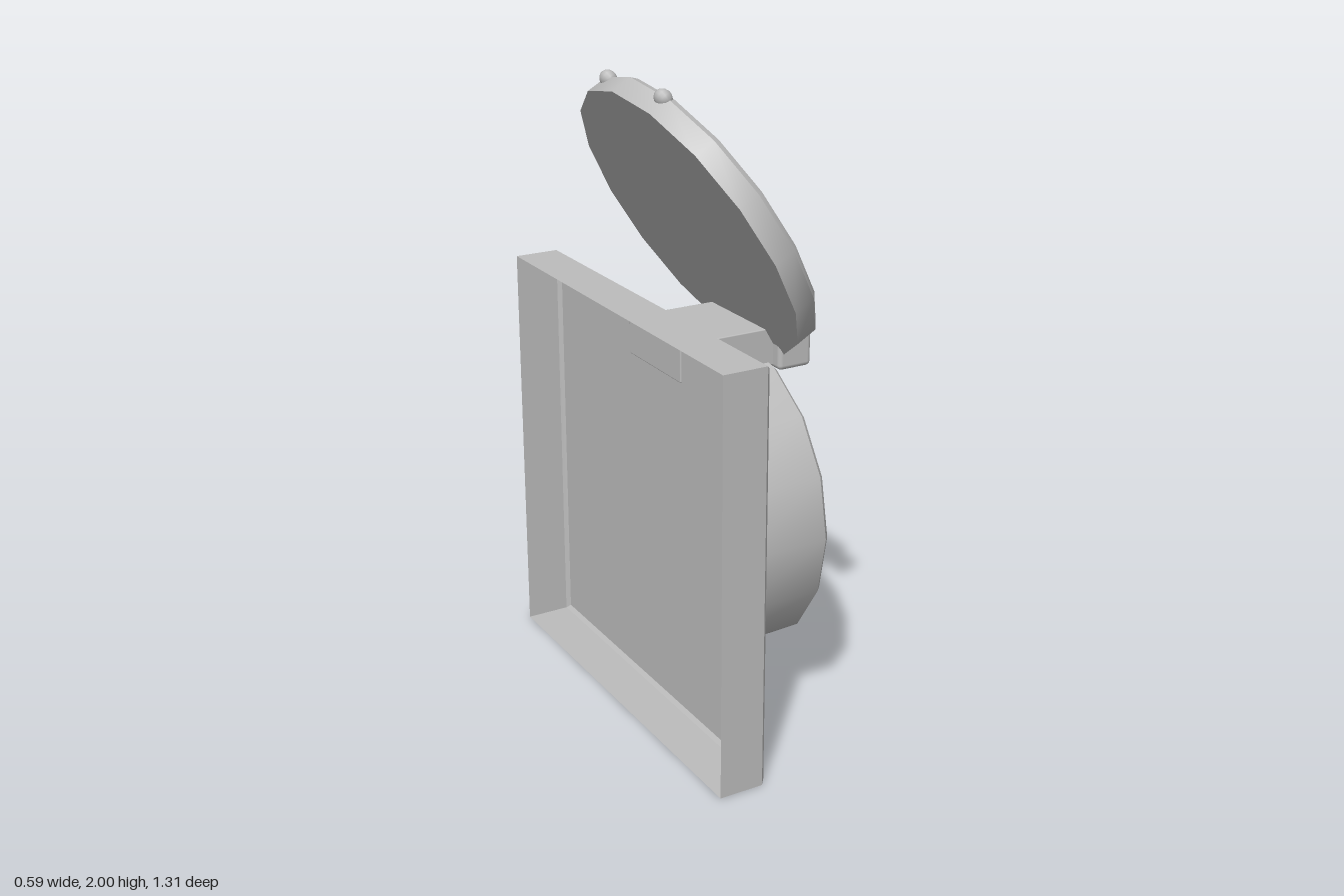
import * as THREE from 'three';
import { toCreasedNormals } from 'three/addons/utils/BufferGeometryUtils.js';
import { RoundedBoxGeometry } from 'three/addons/geometries/RoundedBoxGeometry.js';

const grey = new THREE.MeshStandardMaterial({ color: 0xbcbcbc, side: THREE.DoubleSide });
grey.name = 'greyPlastic';

function add(parent, name, geometry, x = 0, y = 0, z = 0) {
  const mesh = new THREE.Mesh(geometry, grey);
  mesh.name = name;
  mesh.position.set(x, y, z);
  parent.add(mesh);
  return mesh;
}

// Turned shape around the y axis, smooth around, crisp at the bevels
function turned(points, sides, phase = 0) {
  const profile = points.map(([r, h]) => new THREE.Vector2(r, h));
  return toCreasedNormals(new THREE.LatheGeometry(profile, sides, phase), 0.6);
}

// Box given by its limits along each axis
function block(parent, name, [x0, x1], [y0, y1], [z0, z1], bevel) {
  const geometry = new RoundedBoxGeometry(x1 - x0, y1 - y0, z1 - z0, 2, bevel);
  return add(parent, name, geometry, (x0 + x1) / 2, (y0 + y1) / 2, (z0 + z1) / 2);
}

export function createModel() {
  const model = new THREE.Group();
  model.name = 'wallSocket';
  const R = 0.493, centreY = 0.66, plateX = -0.145;

  // Wall plate: hollow square shell, open at the back, facing +x
  const half = 0.655 * Math.SQRT2, b = 0.012;
  const plate = turned([[half, 0], [half, 0.155 - b], [half - b * Math.SQRT2, 0.155], [0, 0.155]], 4, Math.PI / 4);
  plate.rotateZ(-Math.PI / 2);
  add(model, 'wallPlate', plate, -0.3, centreY, 0).scale.y = 1.32 / 1.31;

  // Cup: sixteen-sided collar with bevelled rim and a floor
  const cup = turned([
    [R, 0], [R, 0.305], [R - 0.015, 0.32], [0.443, 0.32], [0.43, 0.307], [0.425, 0.004], [0, 0.004],
  ], 16);
  cup.rotateZ(-Math.PI / 2);
  add(model, 'socketCup', cup, plateX, centreY, 0);

  // Five pentagonal pins, each with a corner on top
  const pin = new THREE.CylinderGeometry(0.047, 0.047, 0.3, 5, 1, false, -Math.PI / 2);
  pin.rotateZ(-Math.PI / 2);
  const pinGeometry = toCreasedNormals(pin, 0.6);
  for (const [y, z] of [[0.843, 0.132], [0.843, -0.132], [0.592, 0.217], [0.592, -0.217], [0.435, 0]]) {
    add(model, 'contactPin', pinGeometry, plateX + 0.15, y, z);
  }

  // Hinge arm over the cup and hinge block at its end
  block(model, 'hingeArm', [-0.15, 0.2], [1.11, 1.23], [-0.16, 0.16], 0.004);
  block(model, 'hingeBlock', [0.175, 0.292], [1.1, 1.23], [-0.197, 0.197], 0.015);

  // Open lid: shallow dish tilted back from the hinge
  const lid = new THREE.Group();
  lid.name = 'lid';
  lid.position.set(0.042, 1.586, 0);
  lid.rotation.z = -Math.PI / 3;
  model.add(lid);
  add(lid, 'lidDish', turned([
    [0, -0.088], [R, -0.088], [R, -0.018], [R - 0.018, 0], [0.443, 0], [0.43, -0.013], [0.425, -0.06], [0, -0.06],
  ], 16));

  // Small catches on the lid's free edge
  for (const side of [-1, 1]) {
    const bump = add(lid, 'lidCatch', new THREE.SphereGeometry(0.03, 12, 8), -0.456, -0.022, side * 0.165);
    bump.scale.set(1, 0.85, 1);
  }
  return model;
}
